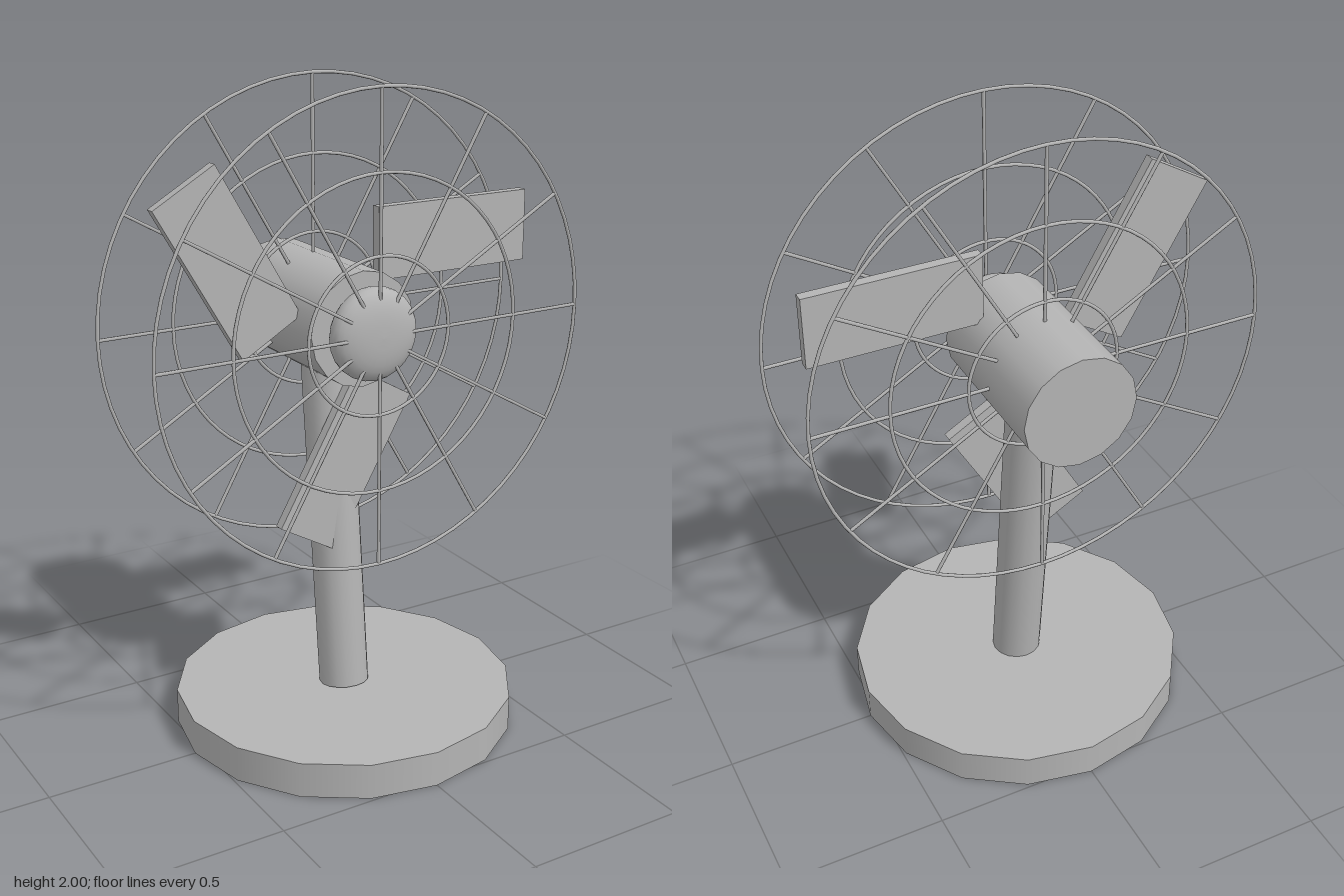
import * as THREE from 'three';

const HUB_Y = 1.29;

export function createModel() {
  const fan = new THREE.Group();
  fan.name = 'deskFan';
  const grey = new THREE.MeshStandardMaterial({ color: 0xb4b4b4 });
  grey.name = 'grey';

  const add = (parent, name, geometry, x = 0, y = 0, z = 0) => {
    const mesh = new THREE.Mesh(geometry, grey);
    mesh.name = name;
    mesh.position.set(x, y, z);
    parent.add(mesh);
    return mesh;
  };

  // Round foot
  add(fan, 'base', new THREE.CylinderGeometry(0.53, 0.53, 0.11, 16), 0, 0.055, 0);

  // Stand leaning back, its top buried in the motor
  const stand = new THREE.CylinderGeometry(0.078, 0.078, 1.1, 16).translate(0, 0.55, 0);
  add(fan, 'stand', stand, 0, 0.11, 0).rotation.x = -0.1;

  // Motor housing along z
  const motor = new THREE.CylinderGeometry(0.174, 0.174, 0.506, 16).rotateX(Math.PI / 2);
  add(fan, 'motorHousing', motor, 0, HUB_Y, -0.144);

  // Flattened nose cap with a full, rounded rim
  const profile = [];
  const power = (v) => Math.sign(v) * Math.abs(v) ** 0.85;
  for (let i = 0; i <= 16; i++) {
    const a = -Math.PI / 2 + (i / 16) * Math.PI;
    const r = i % 16 === 0 ? 0 : 0.14 * power(Math.cos(a));
    profile.push(new THREE.Vector2(r, 0.06 * power(Math.sin(a))));
  }
  add(fan, 'noseCap', new THREE.LatheGeometry(profile, 24).rotateX(Math.PI / 2), 0, HUB_Y, 0.162);

  // Three flat blades set off the hub's axis
  const blades = new THREE.Group();
  blades.name = 'blades';
  blades.position.set(0, HUB_Y, -0.003);
  const blade = new THREE.BoxGeometry(0.532, 0.22, 0.032).translate(0.378, 0.22, 0);
  for (let i = 0; i < 3; i++) {
    add(blades, 'blade', blade).rotation.z = (i * Math.PI * 2) / 3;
  }
  fan.add(blades);

  // Wire guards: three rings and twelve spokes each
  const wire = 0.0055;
  const spoke = new THREE.CylinderGeometry(wire, wire, 0.705, 6).translate(0, 0.3525, 0);
  for (const [name, z] of [['frontGuard', 0.2], ['backGuard', -0.177]]) {
    const guard = new THREE.Group();
    guard.name = name;
    guard.position.set(0, HUB_Y, z);
    for (const r of [0.235, 0.47, 0.705]) {
      add(guard, 'guardRing', new THREE.TorusGeometry(r, wire, 8, 64));
    }
    for (let i = 0; i < 12; i++) {
      add(guard, 'guardSpoke', spoke).rotation.z = (i * Math.PI) / 6;
    }
    fan.add(guard);
  }

  return fan;
}
